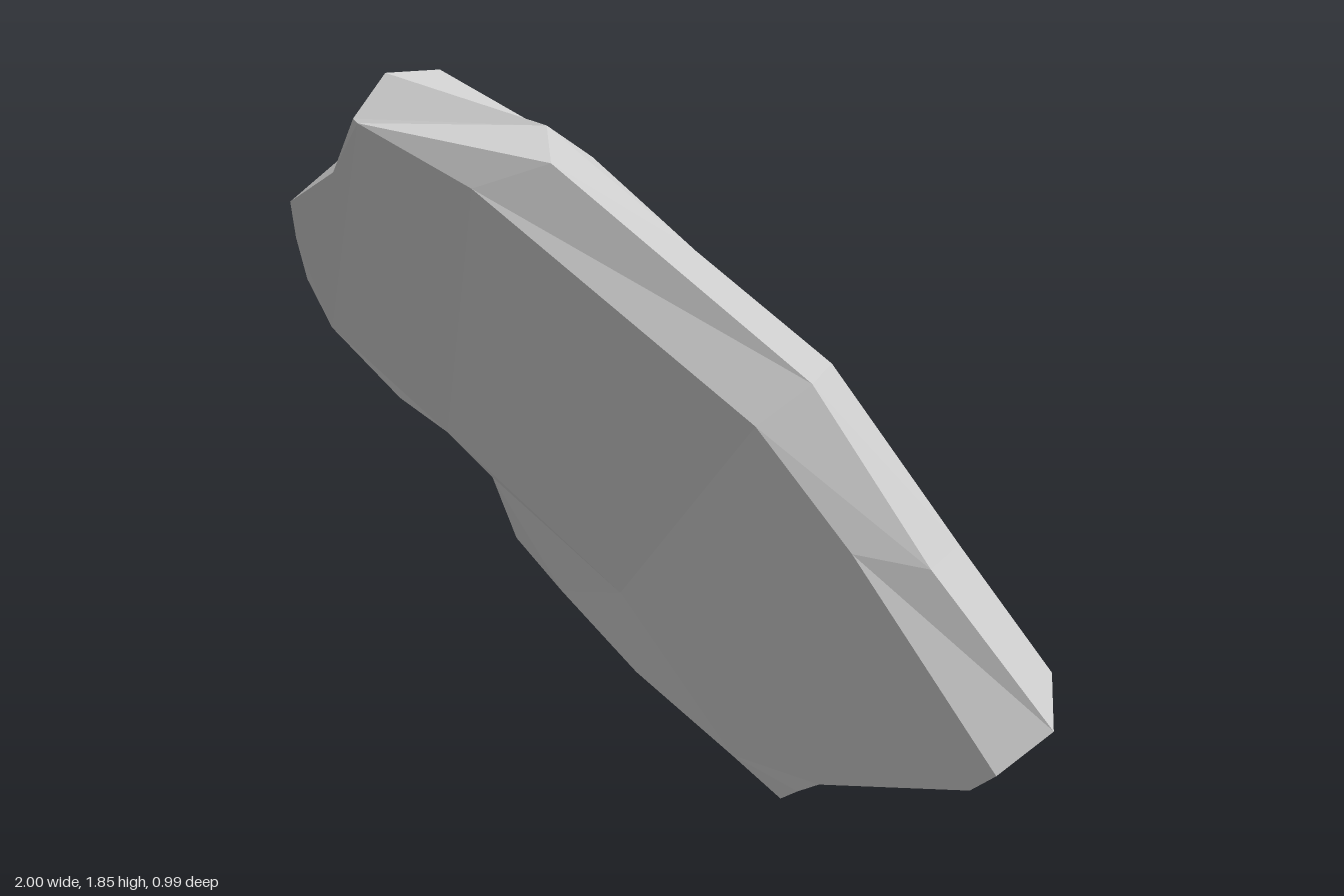
import * as THREE from 'three';

// Three rings run clockwise round the slab, station by station.
// Rim of the big sloping front face, plus one last point inside it
const FRONT = [
  -0.65, 1.75, 0.49, -0.64, 1.74, 0.49, -0.36, 1.6, 0.48, 0.32, 1.1, 0.48, 0.55, 0.83, 0.49,
  0.89, 0.35, 0.49, 0.82, 0.28, 0.43, 0.63, 0.2, 0.27, 0.38, 0.1, 0.12, 0.31, 0.05, 0.07,
  0.25, 0, 0.02, 0.1, 0.08, -0.03, -0.2, 0.24, -0.12, -0.43, 0.43, -0.16, -0.57, 0.56, -0.18,
  -0.6, 0.75, -0.1, -0.7, 0.88, -0.04, -0.82, 0.97, -0.01, -0.98, 1.16, 0.05, -1, 1.3, 0.13,
  -0.98, 1.42, 0.21, -0.95, 1.52, 0.28, -0.77, 1.61, 0.38,
  -0.22, 0.48, -0.06,
];
// Ridge along the broken edge
const RIDGE = [
  -0.6, 1.85, 0.42, -0.25, 1.73, 0.3, -0.18, 1.66, 0.44, 0.43, 1.19, 0.41, 0.72, 0.8, 0.45,
  1, 0.44, 0.41, 0.73, 0.33, 0.17, 0.55, 0.23, 0.03, 0.55, 0.23, 0.03, 0.41, 0.125, -0.07,
  0.28, 0.02, -0.17, 0.08, 0.12, -0.22, -0.2, 0.33, -0.32, -0.4, 0.48, -0.32, -0.53, 0.6, -0.31,
  -0.59, 0.8, -0.25, -0.66, 0.92, -0.2, -0.76, 1, -0.19, -0.97, 1.17, -0.13, -0.98, 1.25, -0.08,
  -0.96, 1.4, 0.02, -0.89, 1.59, 0.13, -0.76, 1.69, 0.2,
];
// Rim of the big sloping back face
const BACK = [
  -0.6, 1.84, 0.14, -0.21, 1.64, 0.12, 0.06, 1.43, 0.14, 0.4, 1.18, 0.14, 0.72, 0.77, 0.15,
  0.95, 0.48, 0.15, 0.63, 0.36, -0.07, 0.63, 0.36, -0.07, 0.55, 0.22, -0.17, 0.44, 0.13, -0.26,
  0.32, 0.11, -0.36, -0.03, 0.26, -0.465, -0.22, 0.48, -0.5, -0.35, 0.58, -0.485, -0.45, 0.68, -0.465,
  -0.56, 0.87, -0.41, -0.59, 1, -0.36, -0.66, 1.06, -0.36, -0.81, 1.17, -0.31, -0.86, 1.28, -0.27,
  -0.82, 1.42, -0.18, -0.82, 1.66, -0.04, -0.77, 1.76, 0.045,
];

const toPoints = (list) =>
  Array.from({ length: list.length / 3 }, (_, i) => new THREE.Vector3().fromArray(list, i * 3));

const range = (from, to) => Array.from({ length: to - from + 1 }, (_, i) => from + i);

// Flat-shaded mesh from a list of triangle corners
function facetMesh(name, corners, material) {
  const geometry = new THREE.BufferGeometry().setFromPoints(corners);
  geometry.computeVertexNormals();
  const mesh = new THREE.Mesh(geometry, material);
  mesh.name = name;
  return mesh;
}

// Fill one facet, turning each triangle towards +z (facing 1) or -z (facing -1)
function fillFacet(points, facing) {
  const outline = points.map((p) => new THREE.Vector2(p.x, p.y));
  return THREE.ShapeUtils.triangulateShape(outline, []).flatMap(([a, b, c]) => {
    const area = THREE.ShapeUtils.area([outline[a], outline[b], outline[c]]);
    return (area * facing > 0 ? [a, b, c] : [a, c, b]).map((i) => points[i]);
  });
}

const fillFacets = (points, facets, facing) =>
  facets.flatMap((facet) => fillFacet(facet.map((i) => points[i]), facing));

// Band of facets joining two rings
function band(near, far) {
  return far.flatMap((p, i) => {
    const j = (i + 1) % far.length;
    return [near[i], near[j], far[j], near[i], far[j], p];
  });
}

export function createModel() {
  const rock = new THREE.Group();
  rock.name = 'rockSlab';
  const stone = new THREE.MeshStandardMaterial({ color: 0xcccccc, flatShading: true });
  const [front, ridge, back] = [FRONT, RIDGE, BACK].map(toPoints);

  // Each broad face breaks into three nearly flat facets
  const inner = front.length - 1;
  const frontFacets = [
    [0, 1, 2, ...range(16, 22)],
    [2, 3, inner, ...range(12, 16)],
    [...range(3, 12), inner],
  ];
  const backFacets = [
    [0, 1, 2, ...range(17, 22)],
    [2, 3, ...range(12, 17)],
    [3, 4, 5, ...range(7, 12)],
  ];

  rock.add(
    facetMesh('frontFace', fillFacets(front, frontFacets, 1), stone),
    facetMesh('frontBevel', band(front, ridge), stone),
    facetMesh('brokenEdge', band(ridge, back), stone),
    facetMesh('backFace', fillFacets(back, backFacets, -1), stone),
  );
  return rock;
}
